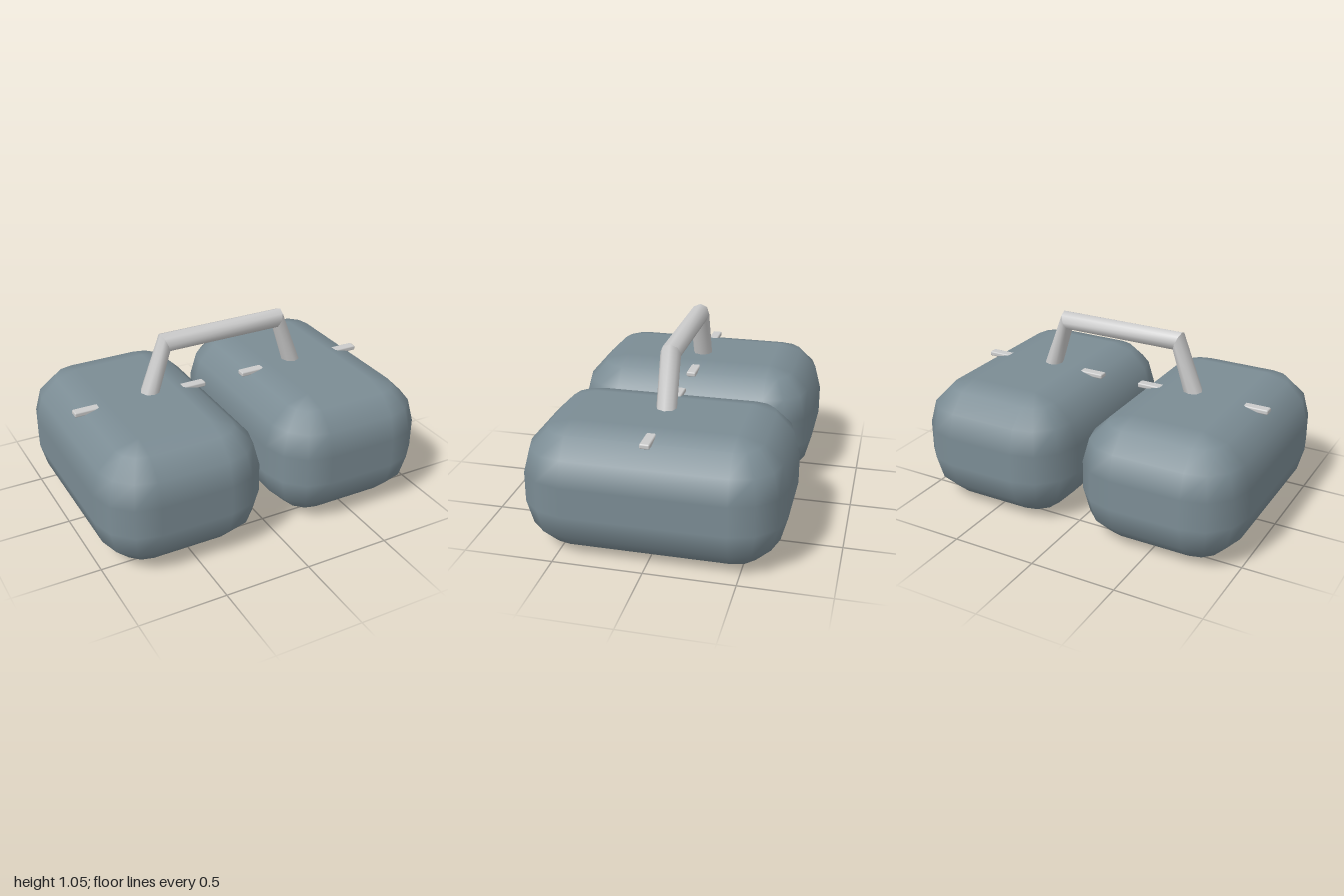
import * as THREE from 'three';
import { RoundedBoxGeometry } from 'three/addons/geometries/RoundedBoxGeometry.js';

// Box with three-step rounded edges, built from horizontal rings
function roundedBlock(w, h, d, r) {
  const pos = [], nor = [], idx = [];
  const steps = 3, n = 4 * (steps + 1), rings = 2 * (steps + 1);
  for (let j = 0; j < rings; j++) {
    const top = j > steps ? 1 : -1;
    const phi = ((j > steps ? j - 1 : j) / steps - 1) * Math.PI / 2;
    for (let q = 0; q < 4; q++) {
      const sx = q === 0 || q === 3 ? 1 : -1, sz = q < 2 ? 1 : -1;
      for (let k = 0; k <= steps; k++) {
        const a = (q + k / steps) * Math.PI / 2;
        const v = [Math.cos(phi) * Math.cos(a), Math.sin(phi), Math.cos(phi) * Math.sin(a)];
        nor.push(...v);
        pos.push(sx * (w / 2 - r) + r * v[0], top * (h / 2 - r) + r * v[1], sz * (d / 2 - r) + r * v[2]);
      }
    }
  }
  for (let j = 0; j < rings - 1; j++) {
    for (let i = 0; i < n; i++) {
      const a = j * n + i, b = j * n + (i + 1) % n;
      idx.push(a, a + n, b, b, a + n, b + n);
    }
  }
  // flat bottom and top
  const t = (rings - 1) * n, c = steps + 1;
  idx.push(0, c, 2 * c, 0, 2 * c, 3 * c);
  idx.push(t, t + 2 * c, t + c, t, t + 3 * c, t + 2 * c);
  const g = new THREE.BufferGeometry();
  g.setAttribute('position', new THREE.Float32BufferAttribute(pos, 3));
  g.setAttribute('normal', new THREE.Float32BufferAttribute(nor, 3));
  g.setIndex(idx);
  return g;
}

// Eight-sided tube between two mitred stations {x, y, ux, uy}; u is the outward half-height
function tubeSegment(s0, s1, halfDepth) {
  const pos = [], idx = [], n = 8;
  for (const s of [s0, s1]) {
    for (let i = 0; i < n; i++) {
      const a = i / n * Math.PI * 2;
      pos.push(s.x + s.ux * Math.cos(a), s.y + s.uy * Math.cos(a), halfDepth * Math.sin(a));
    }
  }
  for (let i = 0; i < n; i++) {
    const j = (i + 1) % n;
    idx.push(i, j, i + n, j, j + n, i + n);
  }
  const g = new THREE.BufferGeometry();
  g.setAttribute('position', new THREE.Float32BufferAttribute(pos, 3));
  g.setIndex(idx);
  g.computeVertexNormals();
  return g;
}

export function createModel() {
  const model = new THREE.Group();
  model.name = 'twinTanks';
  const bodyMat = new THREE.MeshStandardMaterial({ color: 0x7b8c94 });
  const metal = new THREE.MeshStandardMaterial({ color: 0xcccccc });
  const tubeMat = new THREE.MeshStandardMaterial({ color: 0xcccccc, side: THREE.DoubleSide });

  const add = (name, geo, mat, x = 0, y = 0) => {
    const m = new THREE.Mesh(geo, mat);
    m.name = name;
    m.position.set(x, y, 0);
    model.add(m);
  };

  // Two bodies, each crossed by a small pin that shows at both shoulders
  const block = roundedBlock(0.96, 0.72, 1.44, 0.275);
  const pin = new RoundedBoxGeometry(0.8, 0.028, 0.056, 1, 0.008);
  for (const [side, s] of [['left', 1], ['right', -1]]) {
    add(side + 'Body', block, bodyMat, s * 0.52, 0.36);
    add(side + 'Pin', pin, metal, s * 0.52, 0.692);
  }

  // Bridging handle: sloped leg, bar, sloped leg
  const half = [
    { x: -0.474, y: 0.68, ux: -0.051, uy: 0.018 },
    { x: -0.362, y: 1.0, ux: -0.022, uy: 0.055 },
  ];
  const mirror = (s) => ({ ...s, x: -s.x, ux: -s.ux });
  const path = [...half, mirror(half[1]), mirror(half[0])];
  ['rightHandleLeg', 'handleBar', 'leftHandleLeg'].forEach((name, i) =>
    add(name, tubeSegment(path[i], path[i + 1], 0.058), tubeMat));

  return model;
}
